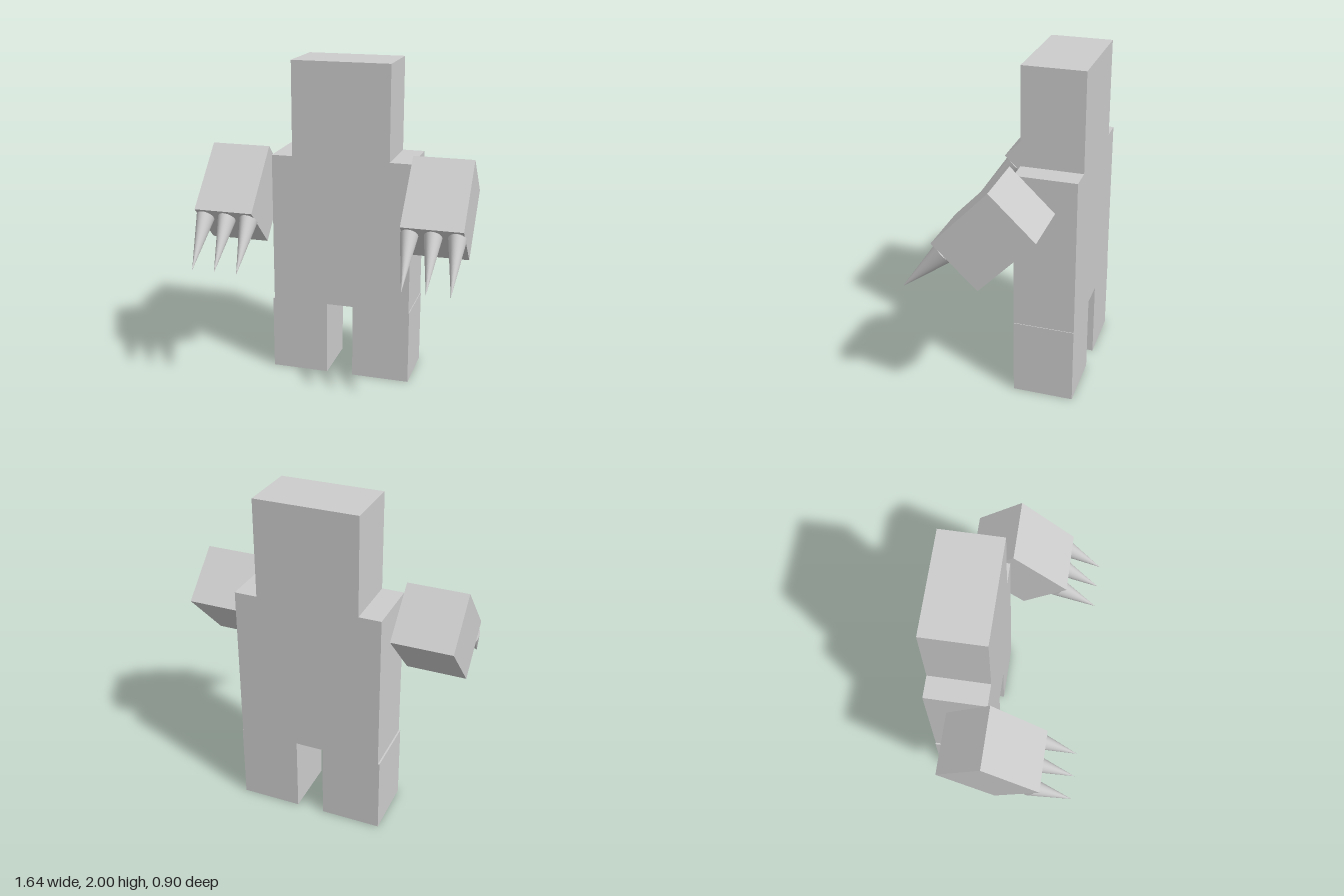
import * as THREE from 'three';

export function createModel() {
  const model = new THREE.Group();
  const grey = new THREE.MeshStandardMaterial({ color: 0xcccccc });
  grey.name = 'lightGrey';

  // Box spanning x0..x1 and y0..y1 in the common body depth
  const slab = (name, x0, x1, y0, y1) => {
    const mesh = new THREE.Mesh(new THREE.BoxGeometry(x1 - x0, y1 - y0, 0.364), grey);
    mesh.name = name;
    mesh.position.set((x0 + x1) / 2, (y0 + y1) / 2, -0.269);
    model.add(mesh);
  };
  slab('head', -0.304, 0.306, 1.417, 2);
  slab('torso', -0.436, 0.442, 0.47, 1.417);
  slab('rightLeg', -0.446, -0.085, 0, 0.47);
  slab('leftLeg', 0.083, 0.446, 0, 0.47);

  // Raised arms, each with three tapering claws at the lower front end
  const armGeometry = new THREE.BoxGeometry(0.364, 0.36, 0.47);
  const clawLength = 0.362;
  const clawGeometry = new THREE.ConeGeometry(0.067, clawLength, 32);
  clawGeometry.translate(0, clawLength / 2, 0);
  clawGeometry.scale(0.79, 1, 1);

  for (const [side, armX, clawX] of [['right', -0.627, -0.628], ['left', 0.632, 0.631]]) {
    const group = new THREE.Group();
    group.name = side + 'ArmAndClaws';

    const arm = new THREE.Mesh(armGeometry, grey);
    arm.name = side + 'Arm';
    arm.position.set(armX, 1.18, -0.037);
    arm.rotation.x = 0.806;
    group.add(arm);

    for (let i = -1; i <= 1; i++) {
      const claw = new THREE.Mesh(clawGeometry, grey);
      claw.name = side + 'Claw' + (i + 2);
      claw.position.set(clawX + i * 0.139, 1.075, 0.194);
      claw.rotation.set(Math.PI * 0.75, 0, -0.042);
      group.add(claw);
    }
    model.add(group);
  }
  return model;
}
